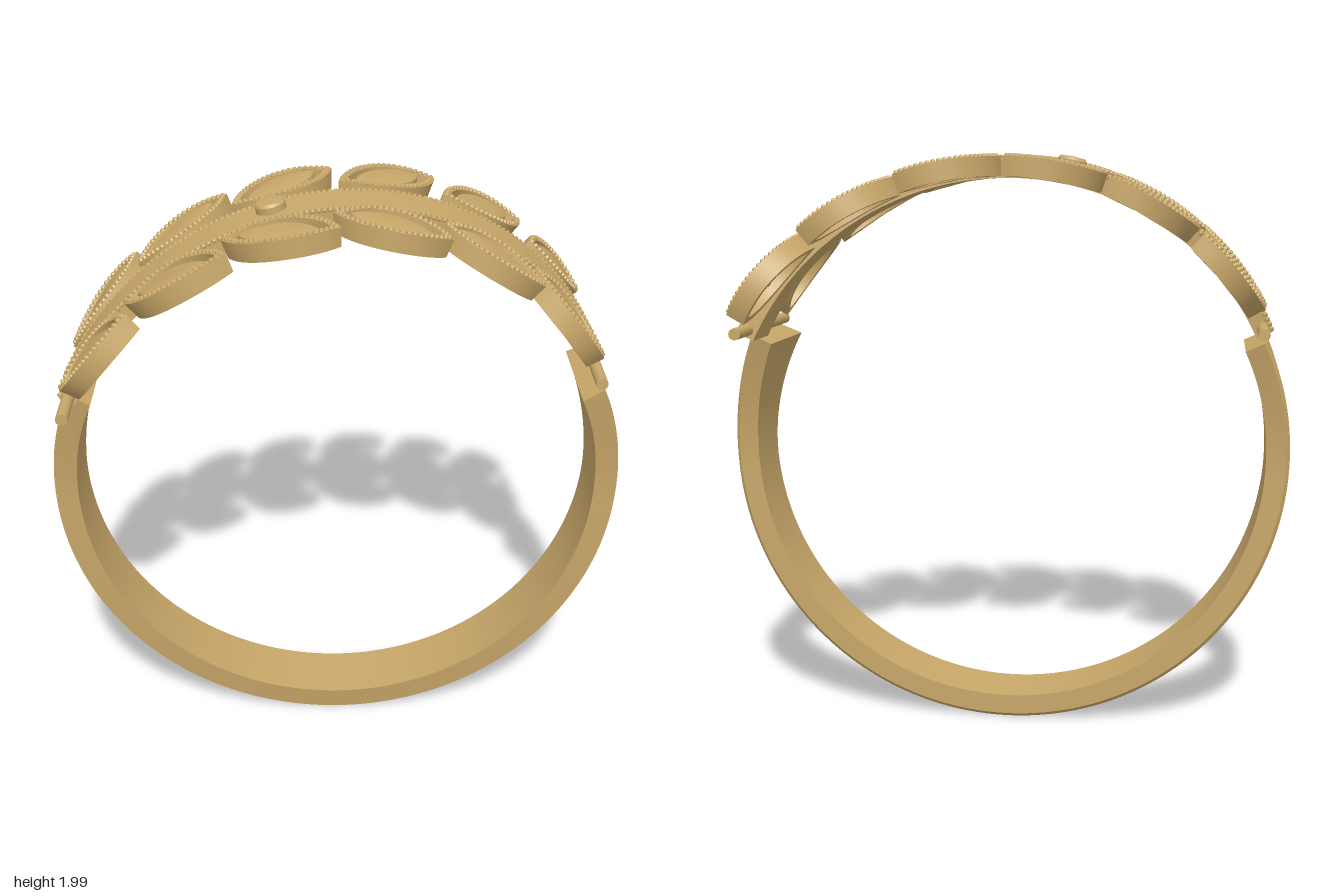
import * as THREE from 'three';
import { mergeGeometries, toCreasedNormals } from 'three/addons/utils/BufferGeometryUtils.js';

const CY = 0.975;            // height of the ring centre
const R = 0.985;             // radius on which flat parts are wrapped
const DEG = Math.PI / 180;
const gold = new THREE.MeshStandardMaterial({ color: 0xc9a86a });

// z of the diagonal stem at a given angle round the ring
const stemZ = (t) => -0.01 - 0.172 * R * Math.cos(t);

// Wrap a flat geometry (x along, y outward, z across) round the ring at angle t0
function wrap(geo, t0, zRule = (z) => z) {
  const p = geo.attributes.position;
  for (let i = 0; i < p.count; i++) {
    const t = t0 - p.getX(i) / R, r = R + p.getY(i);
    p.setXYZ(i, r * Math.cos(t), CY + r * Math.sin(t), zRule(p.getZ(i), t));
  }
  return toCreasedNormals(geo, 0.6);
}

function add(parent, geo, name) {
  const mesh = new THREE.Mesh(geo, gold);
  mesh.name = name;
  parent.add(mesh);
  return mesh;
}

// Long bar with the given cross-section (across, outward), centred on x
function bar(section, length, steps) {
  const shape = new THREE.Shape(section.map(([a, b]) => new THREE.Vector2(a, b)));
  const g = new THREE.ExtrudeGeometry(shape, { depth: length, steps, bevelEnabled: false });
  return g.translate(0, 0, -length / 2).rotateY(Math.PI / 2);
}

// Pointed oval outline
function almond(L, W, Type = THREE.Shape) {
  const s = new Type();
  s.moveTo(-L, 0);
  s.bezierCurveTo(-L * 0.5, -W * 1.33, L * 0.5, -W * 1.33, L, 0);
  s.bezierCurveTo(L * 0.5, W * 1.33, -L * 0.5, W * 1.33, -L, 0);
  return s;
}

const bead = (x, y, z, r) => new THREE.SphereGeometry(r, 6, 4).translate(x, y, z);

function makeLeaf(t, z, tilt, side) {
  const leaf = new THREE.Group();
  const place = (g) => wrap(g.rotateY(-tilt), t, (v) => v + z);

  // Open frame
  const outline = almond(0.19, 0.102);
  outline.holes.push(almond(0.158, 0.078, THREE.Path));
  const frame = new THREE.ExtrudeGeometry(outline, { depth: 0.065, bevelEnabled: false, curveSegments: 14 });
  add(leaf, place(frame.rotateX(-Math.PI / 2).translate(0, -0.043, 0)), 'leafFrame');

  // Row of tiny beads on the frame
  const beads = almond(0.174, 0.09).getSpacedPoints(44).slice(1)
    .map((q) => bead(q.x, 0.022, q.y, 0.0095));
  add(leaf, place(mergeGeometries(beads)), 'leafBeading');

  // Softly bevelled plate, turned slightly within the frame
  const plate = new THREE.ExtrudeGeometry(almond(0.13, 0.055), {
    depth: 0.014, bevelThickness: 0.01, bevelSize: 0.01, bevelSegments: 2, curveSegments: 12,
  });
  plate.rotateX(-Math.PI / 2).rotateY(side * -0.16).translate(0, -0.005, side * 0.006);
  add(leaf, place(plate), 'leafPlate');

  // Pin holding the plate
  add(leaf, place(new THREE.BoxGeometry(0.014, 0.014, 0.18).translate(0, -0.008, 0)), 'leafPin');
  return leaf;
}

export function createModel() {
  const ring = new THREE.Group();
  ring.name = 'ring';

  // Lower band, widening towards its two ends
  const half = (t) => {
    const e = Math.max(0, (Math.sin(t) * 0.97 + 0.08) / 0.485);
    return 0.1125 + 0.0775 * Math.pow(e, 1.8);
  };
  const bandSection = [[-1, -0.095], [1, -0.095], [1, -0.027], [0.9, -0.015], [-0.9, -0.015]];
  const band = bar(bandSection, 229 * DEG * R, 110);
  add(ring, wrap(band, -90 * DEG, (z, t) => 0.0125 + z * half(t)), 'band');

  // Diagonal stem across the top
  const arc = 131 * DEG * R;
  const stemSection = [[-0.085, -0.05], [0.085, -0.05], [0.085, 0.007], [0.073, 0.007],
    [0.073, 0.012], [-0.073, 0.012], [-0.073, 0.007], [-0.085, 0.007]];
  const onStem = (z, t) => z + stemZ(t);
  add(ring, wrap(bar(stemSection, arc, 80), 90 * DEG, onStem), 'stem');

  // Beaded edges of the stem
  for (const side of [-1, 1]) {
    const beads = [];
    for (let i = 0; i <= 120; i++) beads.push(bead((i / 120 - 0.5) * arc * 0.99, 0.008, side * 0.08, 0.01));
    add(ring, wrap(mergeGeometries(beads), 90 * DEG, onStem), 'stemBeading');
  }

  // Six leaves on each side of the stem
  for (const side of [-1, 1]) {
    for (let i = 0; i < 6; i++) {
      const t = (90 + (i - 2.5) * 20.4) * DEG;
      const leaf = makeLeaf(t, stemZ(t) + side * 0.205, (-9.8 + side * 20) * DEG, side);
      leaf.name = side < 0 ? 'backLeaf' : 'frontLeaf';
      ring.add(leaf);
    }
  }

  // Round stud on the stem
  const stud = new THREE.LatheGeometry([[0, -0.03], [0.05, -0.03], [0.05, 0.033], [0.043, 0.042], [0, 0.045]]
    .map(([x, y]) => new THREE.Vector2(x, y)), 24);
  const studAngle = 102 * DEG;
  const studMesh = add(ring, toCreasedNormals(stud, 0.6), 'stud');
  studMesh.position.set(R * Math.cos(studAngle), CY + R * Math.sin(studAngle), 0.02);
  studMesh.rotation.z = studAngle - Math.PI / 2;

  // Hinge pins where the stem meets the band
  for (const side of [-1, 1]) {
    const pin = add(ring, new THREE.CylinderGeometry(0.02, 0.02, 0.58, 16).rotateX(Math.PI / 2), 'hingePin');
    pin.position.set(side * 0.87, 1.4, 0.005 - side * 0.105);
  }
  return ring;
}
